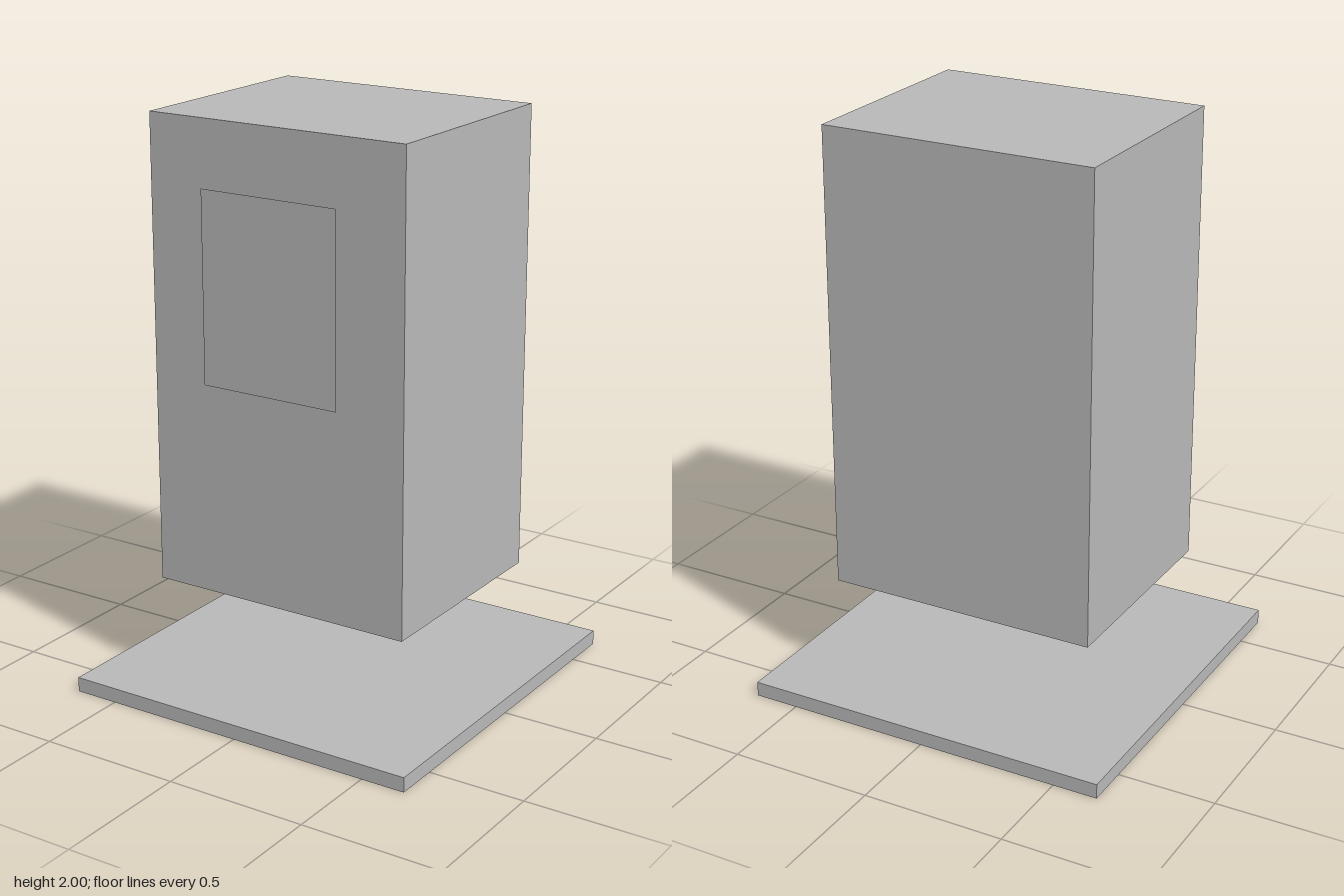
import * as THREE from 'three';

export function createModel() {
  const model = new THREE.Group();
  const grey = new THREE.MeshStandardMaterial({ color: 0xb8b8b8, side: THREE.DoubleSide });
  grey.name = 'plain grey';

  function add(name, geometry, y, z = 0) {
    const mesh = new THREE.Mesh(geometry, grey);
    mesh.name = name;
    mesh.position.set(0, y, z);
    model.add(mesh);
  }

  // Square floor slab
  add('base', new THREE.BoxGeometry(1.316, 0.052, 1.316), 0.026);

  // Upright cabinet floating above the slab
  add('cabinet', new THREE.BoxGeometry(0.97, 1.628, 0.788), 1.186);

  // Thin screen standing just clear of the cabinet front
  add('screen', new THREE.PlaneGeometry(0.514, 0.658), 1.451, 0.432);

  return model;
}
